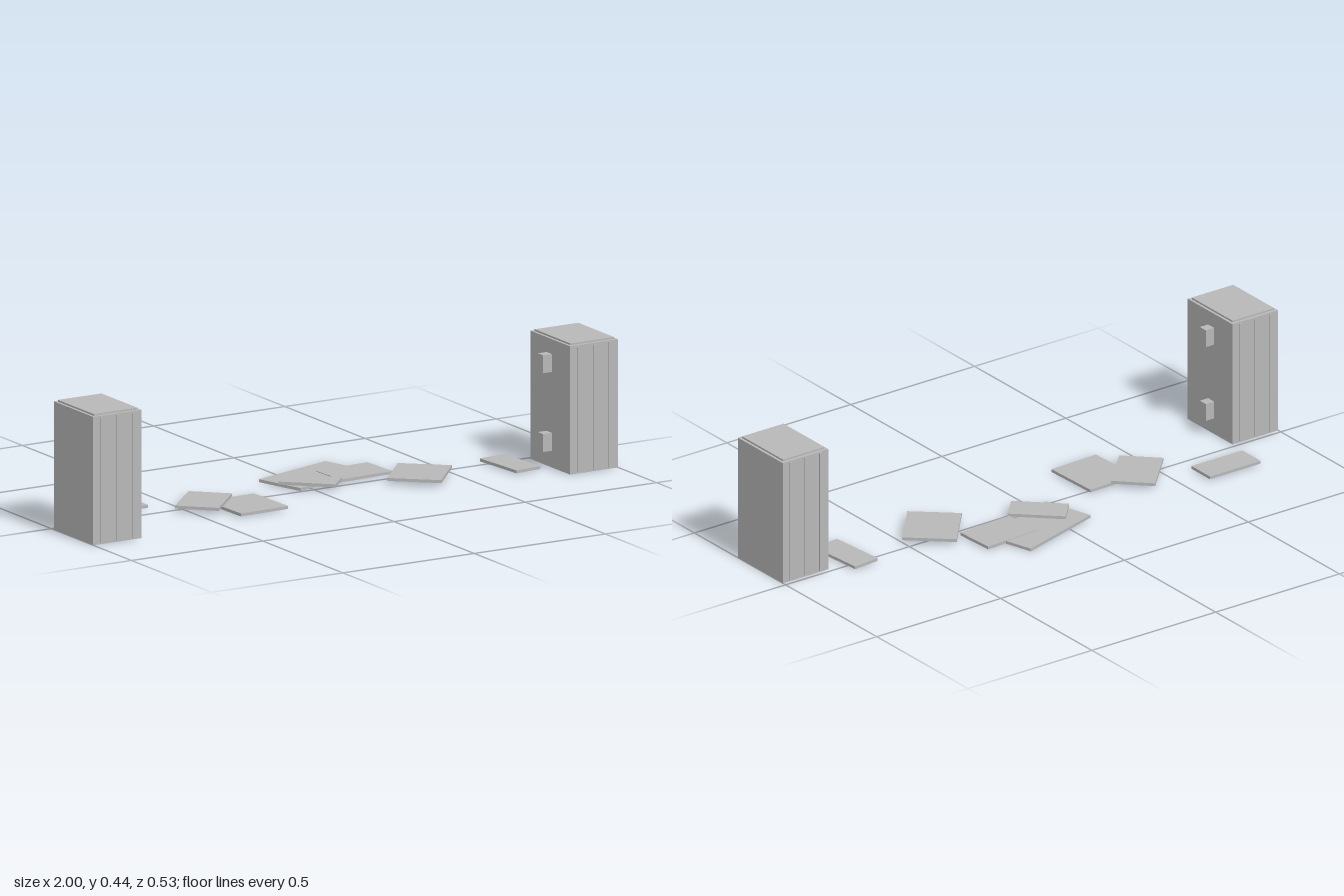
import * as THREE from 'three';

const stone = new THREE.MeshStandardMaterial({ color: 0xb8b8b8 });
stone.name = 'grey stone';

function box(parent, name, w, h, d, x, y, z, turn = 0) {
  const mesh = new THREE.Mesh(new THREE.BoxGeometry(w, h, d), stone);
  mesh.name = name;
  mesh.position.set(x, y, z);
  mesh.rotation.y = THREE.MathUtils.degToRad(turn);
  parent.add(mesh);
}

// One gate post: body, cap, thin ribs on front and back, hinge blocks inside
function makePost(side) {
  const post = new THREE.Group();
  post.name = side > 0 ? 'leftPost' : 'rightPost';
  const cx = side * 0.908, cz = 0.138;
  box(post, 'postBody', 0.184, 0.43, 0.246, cx, 0.215, cz);
  box(post, 'postCap', 0.166, 0.006, 0.224, cx, 0.433, cz);
  for (const face of [-1, 1]) {
    for (const offset of [-0.06, 0, 0.06]) {
      box(post, 'rib', 0.01, 0.42, 0.006, cx + offset, 0.215, cz + face * 0.123);
    }
  }
  for (const y of [0.086, 0.35]) {
    box(post, 'hingeBlock', 0.035, 0.06, 0.033, side * 0.8, y, 0.132);
  }
  return post;
}

export function createModel() {
  const model = new THREE.Group();
  model.name = 'brokenGate';
  model.add(makePost(-1), makePost(1));

  // Fallen slabs: width, depth, x, z, turn in degrees, bottom height
  const slabs = [
    [0.205, 0.101, -0.695, -0.114, 0, 0.003],
    [0.2, 0.145, -0.422, 0.003, 46, 0.013],
    [0.184, 0.203, -0.307, 0.088, 2, 0.003],
    [0.325, 0.18, 0.078, -0.134, 17, 0.002],
    [0.204, 0.142, 0.214, -0.1, 3, 0.004],
    [0.19, 0.1, 0.016, -0.05, -43, 0.012],
    [0.204, 0.178, 0.372, 0.05, 49, 0.013],
    [0.098, 0.2, 0.71, 0.062, 5, 0.003],
  ];
  for (const [w, d, x, z, turn, y] of slabs) {
    box(model, 'fallenSlab', w, 0.01, d, x, y + 0.005, z, turn);
  }
  return model;
}
